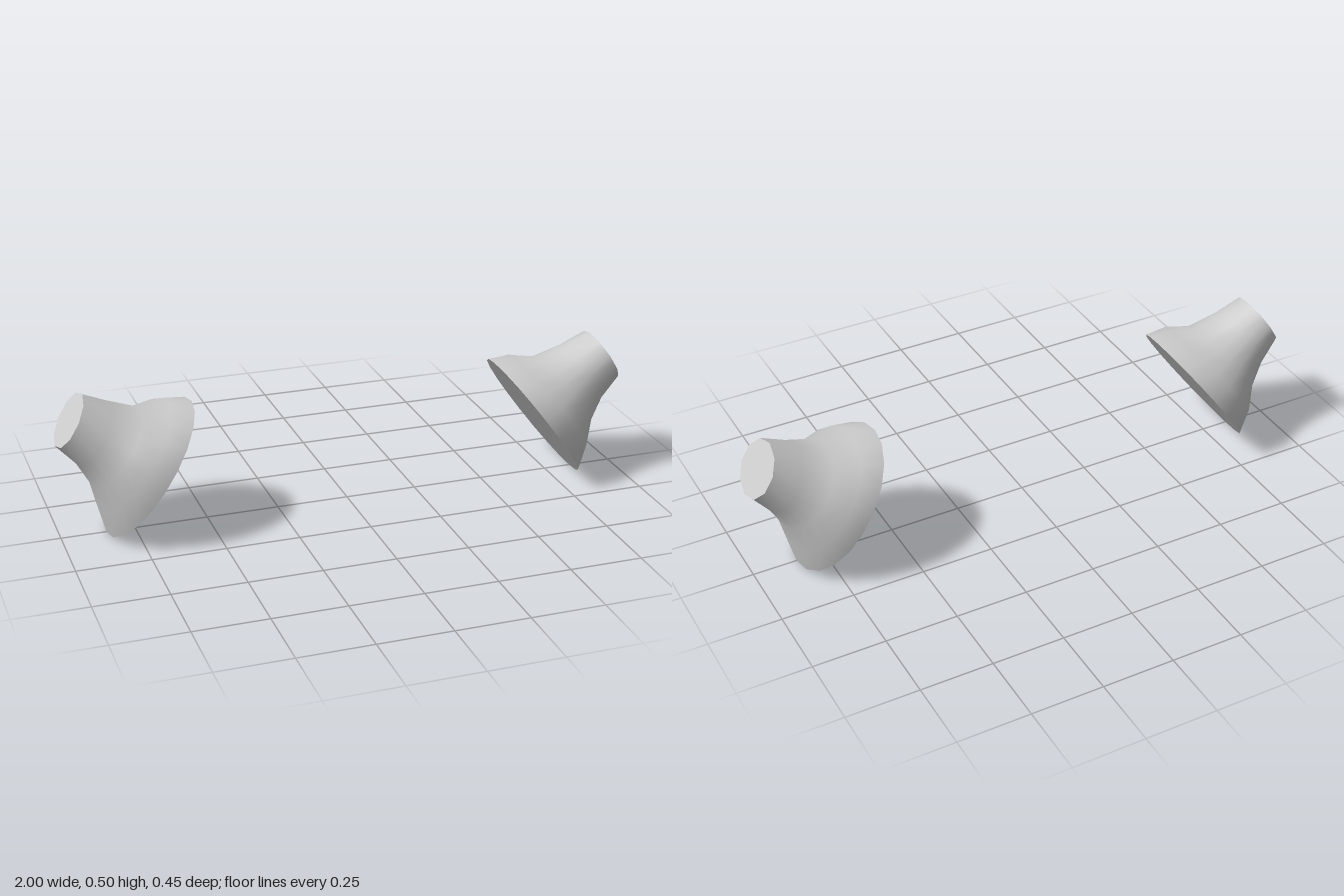
import * as THREE from 'three';

const SIDES = 20;

// Rings from flared foot to narrow end: lower point, upper point, half depth
const RINGS = [
  { low: [0.847, 0.0], high: [0.54, 0.43], depth: 0.224 },
  { low: [0.873, 0.1], high: [0.62, 0.435], depth: 0.213 },
  { low: [0.895, 0.19], high: [0.71, 0.42], depth: 0.162 },
  { low: [0.935, 0.262], high: [0.81, 0.457], depth: 0.126 },
  { low: [1.0, 0.333], high: [0.9, 0.5], depth: 0.105, tenSided: true },
];

// Points of one tilted oval ring
function ringPoints({ low, high, depth, tenSided }) {
  const points = [];
  for (let j = 0; j < SIDES; j++) {
    const a = (j / SIDES) * Math.PI * 2;
    const r = tenSided && j % 2 ? Math.cos(Math.PI / 10) : 1;
    const t = 0.5 + 0.5 * r * Math.cos(a);
    points.push(
      THREE.MathUtils.lerp(low[0], high[0], t),
      THREE.MathUtils.lerp(low[1], high[1], t),
      r * depth * Math.sin(a)
    );
  }
  return points;
}

function makeGeometry(positions, index) {
  const g = new THREE.BufferGeometry();
  g.setAttribute('position', new THREE.Float32BufferAttribute(positions, 3));
  g.setIndex(index);
  g.computeVertexNormals();
  return g;
}

// Smooth skin joining the rings
function flareGeometry() {
  const index = [];
  for (let i = 0; i < RINGS.length - 1; i++) {
    for (let j = 0; j < SIDES; j++) {
      const k = (j + 1) % SIDES;
      const a = i * SIDES + j, b = i * SIDES + k;
      const c = a + SIDES, d = b + SIDES;
      index.push(a, b, d, a, d, c);
    }
  }
  return makeGeometry(RINGS.flatMap(ringPoints), index);
}

// Flat cap over one ring
function capGeometry(ring, outward) {
  const index = [];
  for (let j = 1; j < SIDES - 1; j++) {
    index.push(0, ...(outward ? [j, j + 1] : [j + 1, j]));
  }
  return makeGeometry(ringPoints(ring), index);
}

export function createModel() {
  const model = new THREE.Group();
  model.name = 'flaredPair';
  const material = new THREE.MeshStandardMaterial({ color: 0xcccccc });
  const parts = {
    flare: flareGeometry(),
    footCap: capGeometry(RINGS[0], false),
    endCap: capGeometry(RINGS[RINGS.length - 1], true),
  };

  // The second piece is the first turned half round
  for (const [name, turn] of [['leftFlare', 0], ['rightFlare', Math.PI]]) {
    const piece = new THREE.Group();
    piece.name = name;
    for (const [part, geometry] of Object.entries(parts)) {
      const mesh = new THREE.Mesh(geometry, material);
      mesh.name = part;
      piece.add(mesh);
    }
    piece.rotation.y = turn;
    model.add(piece);
  }
  return model;
}
